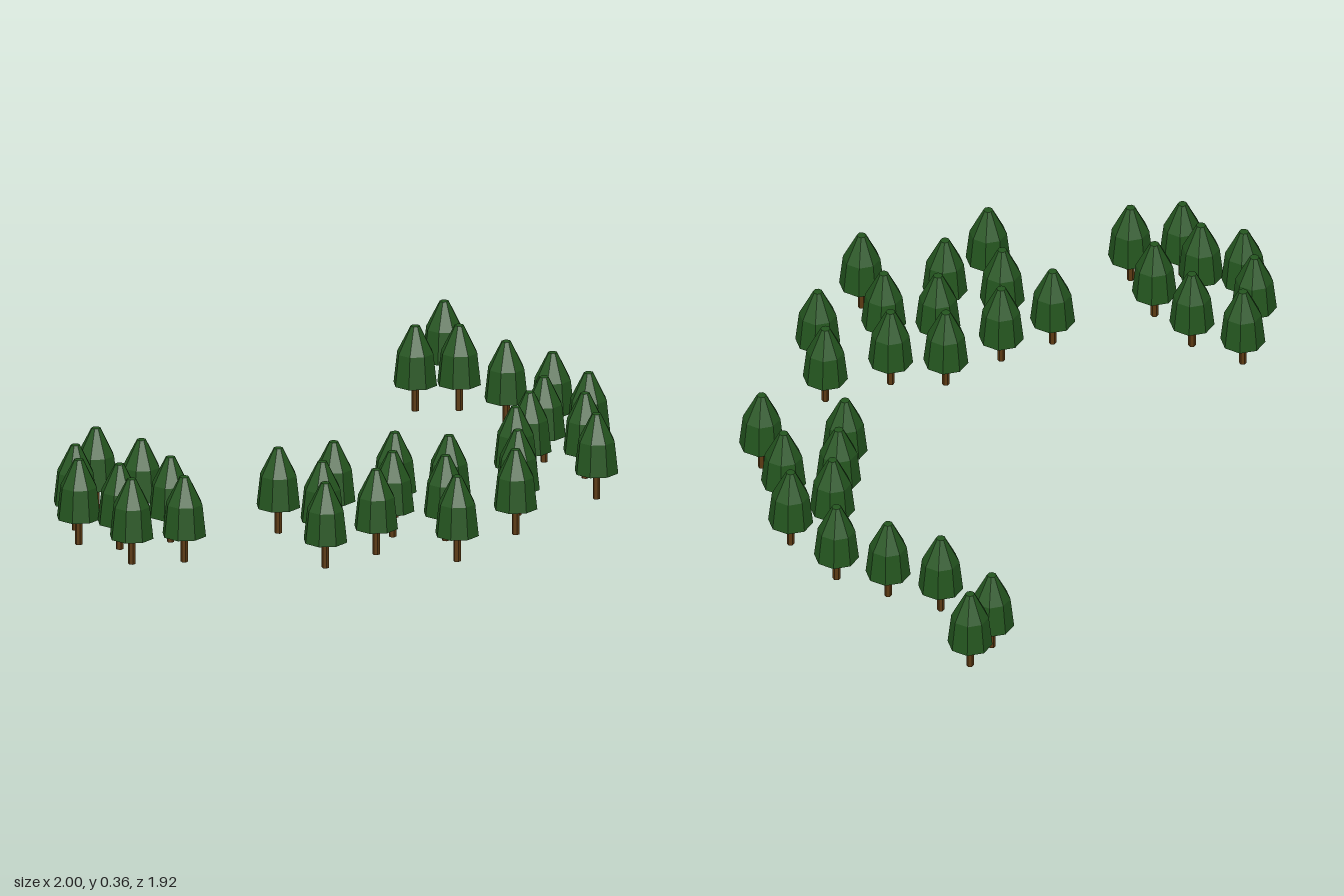
import * as THREE from 'three';

// Tree spots as [x, z, ground height], one list per grove
const GROVES = {
  rightGrove: [
    [-0.77, 0.04, 0.072], [-0.89, 0.18, 0.072], [-0.674, 0.2, 0.072], [-0.928, 0.316, 0.07],
    [-0.824, 0.41, 0.072], [-0.647, 0.396, 0.072], [-0.832, 0.545, 0.065], [-0.674, 0.6, 0.072],
  ],
  middleGrove: [
    [-0.294, 0.428, 0.072], [-0.107, 0.428, 0.072], [0.108, 0.404, 0.072], [0.26, 0.492, 0.072],
    [0.484, 0.516, 0.072], [-0.209, 0.604, 0.072], [0.035, 0.586, 0.072], [0.18, 0.68, 0.072],
    [0.41, 0.698, 0.072], [-0.075, 0.737, 0.072], [-0.273, 0.81, 0.072], [0.143, 0.89, 0.072],
  ],
  leftGrove: [
    [0.743, -0.89, 0.038], [0.61, -0.793, 0], [0.69, -0.604, 0.052], [0.79, -0.44, 0.038],
    [0.89, -0.283, 0.038], [0.78, -0.06, 0.038], [0.928, -0.052, 0.038], [0.685, 0.07, 0.038],
    [0.847, 0.139, 0.038], [0.592, 0.195, 0.038], [0.81, 0.348, 0.038],
  ],
};

export function createModel() {
  const model = new THREE.Group();
  model.name = 'treeGroves';

  const leafMaterial = new THREE.MeshStandardMaterial({ color: 0x24551f, flatShading: true });
  const barkMaterial = new THREE.MeshStandardMaterial({ color: 0x5c3a12, flatShading: true });

  // Faceted crown: flat underside, sloping sides, shoulder, blunt tip
  const crownProfile = [[0, 0.09], [0.072, 0.09], [0.06, 0.195], [0.015, 0.284], [0, 0.285]]
    .map(([r, y]) => new THREE.Vector2(r, y));
  const crownGeometry = new THREE.LatheGeometry(crownProfile, 8);
  crownGeometry.rotateY(0.15);

  // Straight trunk reaching into the crown
  const trunkGeometry = new THREE.CylinderGeometry(0.012, 0.012, 0.11, 6);
  trunkGeometry.translate(0, 0.055, 0);

  function makeTree([x, z, ground]) {
    const tree = new THREE.Group();
    tree.name = 'tree';
    const crown = new THREE.Mesh(crownGeometry, leafMaterial);
    crown.name = 'crown';
    const trunk = new THREE.Mesh(trunkGeometry, barkMaterial);
    trunk.name = 'trunk';
    tree.add(crown, trunk);
    tree.position.set(x, ground, z);
    return tree;
  }

  for (const [name, spots] of Object.entries(GROVES)) {
    const grove = new THREE.Group();
    grove.name = name;
    spots.forEach((spot) => grove.add(makeTree(spot)));
    model.add(grove);
  }
  return model;
}
